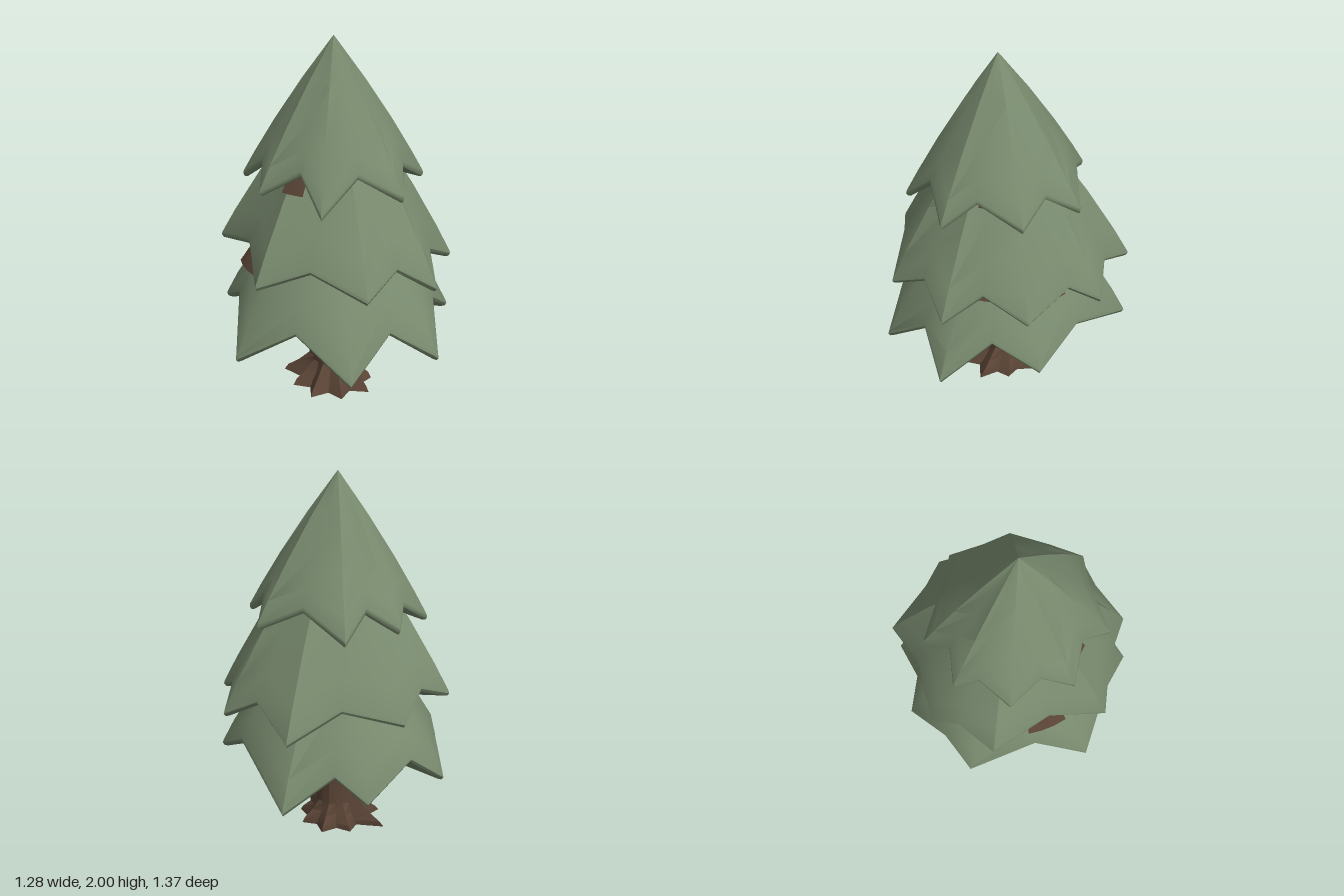
import * as THREE from 'three';
import { toCreasedNormals } from 'three/addons/utils/BufferGeometryUtils.js';

const needles = new THREE.MeshStandardMaterial({ color: 0x788a6e });
needles.name = 'needle green';
const bark = new THREE.MeshStandardMaterial({ color: 0x594335 });
bark.name = 'bark brown';
bark.side = THREE.DoubleSide;

// Skin between closed rings listed from top to bottom, each ring running from +x towards +z.
function loft(rings, crease) {
  const out = [];
  const tri = (a, b, c) => {
    const area = b.clone().sub(a).cross(c.clone().sub(a)).length();
    if (area > 1e-9) for (const p of [a, b, c]) out.push(p.x, p.y, p.z);
  };
  for (let k = 0; k + 1 < rings.length; k++) {
    const u = rings[k], l = rings[k + 1], n = u.length;
    for (let i = 0; i < n; i++) {
      const j = (i + 1) % n;
      tri(u[i], u[j], l[j]);
      tri(u[i], l[j], l[i]);
    }
  }
  const g = new THREE.BufferGeometry();
  g.setAttribute('position', new THREE.Float32BufferAttribute(out, 3));
  return toCreasedNormals(g, crease);
}

// One skirt of branches: star-shaped rim of alternating tips and valleys, [x, y, z] each,
// with its own bulge for the ridges above the tips and the folds above the valleys.
// The underside runs from the rim to a ring at innerScale, innerY, then flat to the axis.
function tier(name, apex, rim, tipBulge, valleyBulge, innerScale, innerY) {
  const top = new THREE.Vector3(...apex);
  const edge = rim.map(p => new THREE.Vector3(...p));
  const scaled = (p, f, y) => new THREE.Vector3(p.x * f, y, p.z * f);
  const rings = [0, 0.02, 0.3, 0.6, 0.85, 1].map(t => edge.map((p, i) => {
    const f = t * (1 + (i % 2 ? valleyBulge : tipBulge) * (1 - t));
    return new THREE.Vector3(
      THREE.MathUtils.lerp(top.x, p.x * 0.995, f),
      THREE.MathUtils.lerp(top.y, p.y + 0.022, t),
      THREE.MathUtils.lerp(top.z, p.z * 0.995, f));
  }));
  // rounded lip, then the underside
  rings.push(edge.map(p => scaled(p, 1.002, p.y + 0.005)));
  rings.push(edge.map(p => scaled(p, 0.985, p.y - 0.01)));
  rings.push(edge.map(p => scaled(p, 0.955, p.y - 0.012)));
  rings.push(edge.map(p => scaled(p, innerScale, innerY)));
  rings.push(edge.map(() => new THREE.Vector3(0, innerY, 0)));
  const mesh = new THREE.Mesh(loft(rings, 0.7), needles);
  mesh.name = name;
  return mesh;
}

// Trunk with a star of irregular roots
function trunk() {
  const roots = [0.21, 0.25, 0.24, 0.25, 0.24, 0.3, 0.22, 0.23, 0.22];
  const n = roots.length * 2;
  const ring = (y, z, radius) => Array.from({ length: n }, (_, i) => {
    const a = (i / n) * Math.PI * 2;
    const r = radius(i);
    return new THREE.Vector3(Math.cos(a) * r - 0.012, y, Math.sin(a) * r + z);
  });
  const flare = (i, tip, gap) => (i % 2 ? gap : roots[i / 2] * tip);
  const rings = [
    ring(0.6, -0.01, i => (i % 2 ? 0.105 : 0.11)),
    ring(0.32, -0.012, i => (i % 2 ? 0.108 : 0.115)),
    ring(0.13, -0.012, i => flare(i, 0.51, 0.115)),
    ring(0.075, -0.005, i => flare(i, 0.72, 0.13)),
    ring(0.03, 0, i => flare(i, 0.95, 0.16)),
    ring(0, 0.01, i => flare(i, 1.03, 0.175)),
    ring(0, 0.01, () => 0),
  ];
  const mesh = new THREE.Mesh(loft(rings, 0.4), bark);
  mesh.name = 'trunk';
  return mesh;
}

// Bark glimpsed between the tiers: [angle from +x towards +z, arc, low y, high y, low radius, high radius]
function innerBark() {
  const group = new THREE.Group();
  group.name = 'innerBark';
  const patches = [
    [20, 20, 0.8, 0.88, 0.475, 0.42],
    [-19, 26, 0.765, 0.87, 0.485, 0.42],
    [158, 24, 0.78, 0.88, 0.53, 0.46],
    [123, 18, 1.245, 1.34, 0.415, 0.35],
    [25, 14, 1.3, 1.35, 0.35, 0.325],
  ];
  for (const [angle, arc, y0, y1, r0, r1] of patches) {
    const start = THREE.MathUtils.degToRad(90 - angle - arc / 2);
    const g = new THREE.CylinderGeometry(r1, r0, y1 - y0, 3, 1, true, start, THREE.MathUtils.degToRad(arc));
    const mesh = new THREE.Mesh(g, bark);
    mesh.name = 'barkPatch';
    mesh.position.y = (y0 + y1) / 2;
    group.add(mesh);
  }
  return group;
}

export function createModel() {
  const tree = new THREE.Group();
  tree.name = 'pineTree';
  tree.add(trunk(), innerBark());

  tree.add(tier('lowerBranches', [0, 1.32, 0], [
    [0.635, 0.43, -0.08], [0.53, 0.58, 0.16], [0.54, 0.36, 0.445], [0.28, 0.53, 0.49],
    [0.075, 0.325, 0.685], [-0.21, 0.55, 0.54], [-0.53, 0.345, 0.435], [-0.53, 0.6, 0.13],
    [-0.64, 0.42, -0.24], [-0.48, 0.58, -0.38], [-0.29, 0.41, -0.595], [-0.11, 0.53, -0.555],
    [0.14, 0.355, -0.68], [0.45, 0.58, -0.32],
  ], 0.36, 0.25, 0.25, 0.5));

  tree.add(tier('middleBranches', [0, 1.8, 0.01], [
    [0.635, 0.77, -0.01], [0.5, 0.885, 0.2], [0.52, 0.75, 0.42], [0.31, 0.885, 0.48],
    [0.155, 0.77, 0.64], [-0.13, 0.895, 0.54], [-0.41, 0.795, 0.515], [-0.46, 0.93, 0.2],
    [-0.64, 0.85, -0.1], [-0.51, 0.94, -0.28], [-0.45, 0.8, -0.44], [-0.14, 0.885, -0.52],
    [0.11, 0.75, -0.685], [0.31, 0.885, -0.49], [0.51, 0.775, -0.425], [0.51, 0.885, -0.25],
  ], 0.22, 0.1, 0.7, 0.87));

  tree.add(tier('topBranches', [-0.012, 2, 0.03], [
    [0.47, 1.24, -0.01], [0.345, 1.36, 0.2], [0.34, 1.225, 0.385], [0.11, 1.355, 0.405],
    [-0.075, 1.175, 0.52], [-0.18, 1.355, 0.36], [-0.39, 1.24, 0.32], [-0.385, 1.355, 0.145],
    [-0.5, 1.24, -0.01], [-0.395, 1.355, -0.165], [-0.395, 1.25, -0.3], [-0.225, 1.355, -0.315],
    [-0.145, 1.22, -0.465], [0.09, 1.355, -0.37], [0.34, 1.24, -0.335], [0.35, 1.355, -0.15],
  ], 0.17, 0.05, 0.7, 1.33));

  return tree;
}
